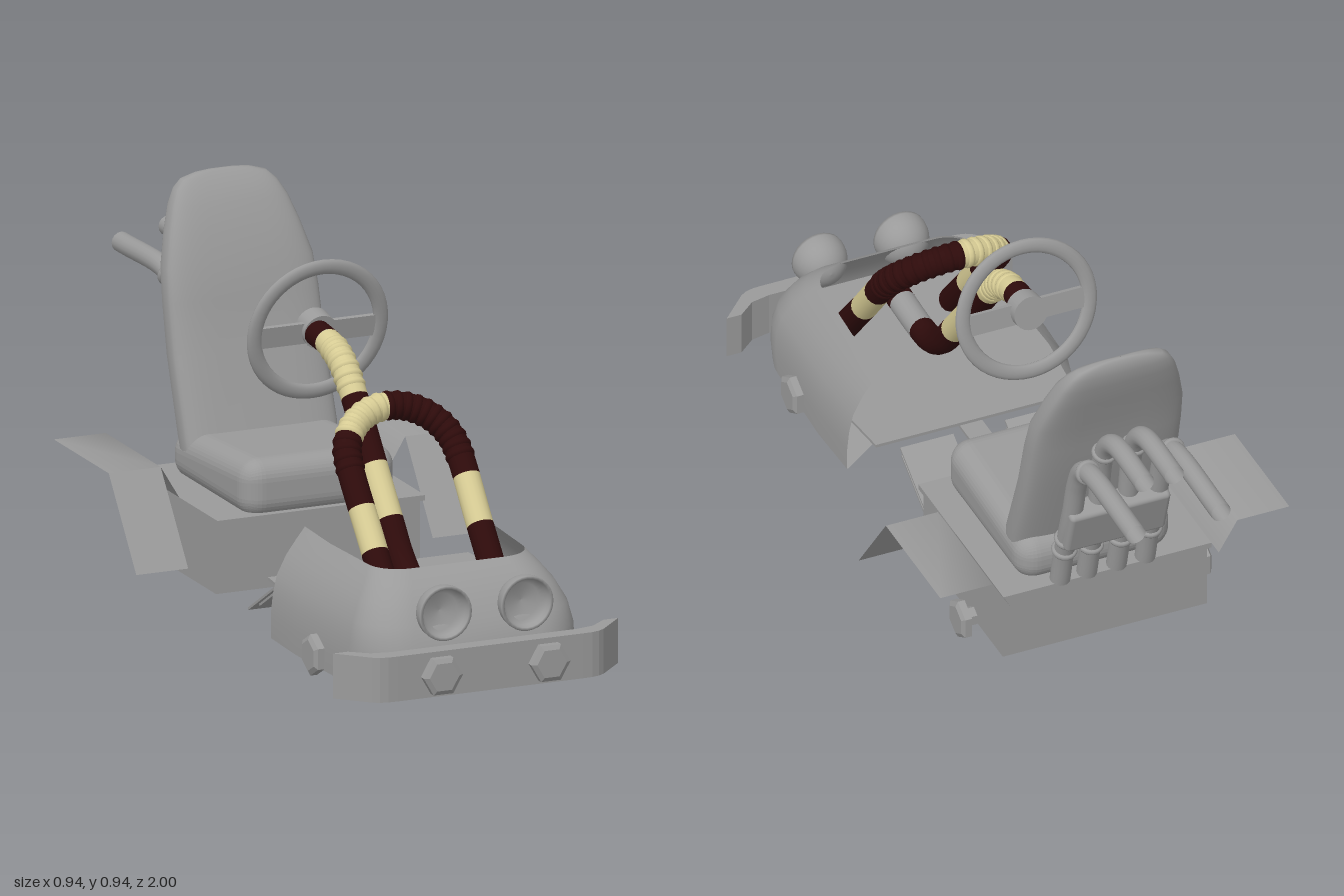
import * as THREE from 'three';
import { RoundedBoxGeometry } from 'three/addons/geometries/RoundedBoxGeometry.js';

const V = (x, y, z) => new THREE.Vector3(x, y, z);
const grey = new THREE.MeshStandardMaterial({ color: 0x9a9a9a, side: THREE.DoubleSide });
const dark = new THREE.MeshStandardMaterial({ color: 0x2e0b0b, side: THREE.DoubleSide });
const tan = new THREE.MeshStandardMaterial({ color: 0xd6cb94, side: THREE.DoubleSide });

// Skin a list of rings that all have the same number of points
function loft(rings, closed) {
  const n = rings[0].length, pos = [], idx = [];
  rings.forEach(r => r.forEach(p => pos.push(p.x, p.y, p.z)));
  for (let i = 0; i < rings.length - 1; i++) {
    for (let j = 0; j < (closed ? n : n - 1); j++) {
      const a = i * n + j, b = i * n + (j + 1) % n;
      idx.push(a, a + n, b, b, a + n, b + n);
    }
  }
  const g = new THREE.BufferGeometry();
  g.setAttribute('position', new THREE.Float32BufferAttribute(pos, 3));
  g.setIndex(idx);
  g.computeVertexNormals();
  return g;
}

export function createModel() {
  const root = new THREE.Group();
  const add = (name, geo, x = 0, y = 0, z = 0, mat = grey, parent = root) => {
    const m = new THREE.Mesh(geo, mat);
    m.name = name;
    m.position.set(x, y, z);
    parent.add(m);
    return m;
  };
  const box = (name, w, h, d, x, y, z, parent = root) =>
    add(name, new THREE.BoxGeometry(w, h, d), x, y, z, grey, parent);

  // Nose shell: U-shaped outlines stacked upward [y, half width, front z], corners tighter at the top
  const outline = ([y, w, zf]) => {
    const r = 0.183 - y * 0.33, wf = w - 0.01, pts = [V(w - 0.005, y, 0.335), V(w, y, 0.5)];
    for (let i = 0; i <= 8; i++) {
      const a = i / 8 * Math.PI / 2;
      pts.push(V(wf - r + r * Math.cos(a), y, zf - r + r * Math.sin(a)));
    }
    return pts.concat(pts.map(p => V(-p.x, p.y, p.z)).reverse());
  };
  add('noseShell', loft([
    [0.04, 0.31, 0.93], [0.1, 0.31, 0.93], [0.15, 0.305, 0.92], [0.2, 0.294, 0.895],
    [0.25, 0.268, 0.86], [0.285, 0.242, 0.825], [0.305, 0.226, 0.795], [0.315, 0.218, 0.78],
  ].map(outline), false));

  // Underside rising from the shell's lower rim to the floor
  add('nosePan', loft([[0.04, 0.308, 0.928], [0.158, 0.17, 0.62]].map(outline), false));

  // Foot floor inside the nose
  const floor = new THREE.Shape([[-0.27, 0.24], [0.27, 0.24], [0.29, 0.45], [0.28, 0.78],
    [0.16, 0.89], [-0.16, 0.89], [-0.28, 0.78], [-0.29, 0.45]].map(p => new THREE.Vector2(...p)));
  add('floor', new THREE.ExtrudeGeometry(floor, { depth: 0.008, bevelEnabled: false })
    .rotateX(Math.PI / 2), 0, 0.167, 0);

  // Front bumper with swept-back ends
  const half = [[0.25, 0.975], [0.275, 0.974], [0.295, 0.969], [0.312, 0.959], [0.385, 0.885],
    [0.345, 0.885], [0.3, 0.922], [0.25, 0.932]];
  const bumper = new THREE.Shape([...half, ...half.map(([x, z]) => [-x, z]).reverse()]
    .map(p => new THREE.Vector2(...p)));
  add('bumper', new THREE.ExtrudeGeometry(bumper, { depth: 0.115, bevelEnabled: false })
    .rotateX(Math.PI / 2), 0, 0.155, 0);

  // Hexagonal bolts with a bevelled head, pointing along +z before turning
  const hexGeo = () => new THREE.LatheGeometry([[0, -0.05], [0.025, -0.05], [0.025, -0.025],
    [0.053, -0.025], [0.053, -0.007], [0.04, 0], [0, 0]].map(p => new THREE.Vector2(...p)), 6)
    .toNonIndexed().rotateX(Math.PI / 2).rotateZ(Math.PI / 6);
  const flat = g => { g.computeVertexNormals(); return g; };
  for (const x of [-0.135, 0.155]) add('bumperBolt', flat(hexGeo()), x, 0.095, 1);
  for (const s of [-1, 1]) for (const z of [0.628, -0.392]) {
    add('sideBolt', flat(hexGeo().rotateZ(Math.PI / 6)), s * 0.337, 0.077, z).rotation.y = s * Math.PI / 2;
  }

  // Headlights: hollow bowls domed at the back
  const bowl = [];
  for (let i = 0; i <= 8; i++) {
    const a = i / 8 * Math.PI / 2;
    bowl.push(new THREE.Vector2(0.07 * Math.sin(a), -0.075 * Math.cos(a)));
  }
  bowl.push(new THREE.Vector2(0.07, 0.008), new THREE.Vector2(0.062, 0.008), new THREE.Vector2(0.06, -0.01),
    new THREE.Vector2(0.045, -0.025), new THREE.Vector2(0, -0.032));
  for (const x of [-0.1, 0.12]) {
    add('headlight', new THREE.LatheGeometry(bowl, 28).rotateX(Math.PI / 2), x, 0.235, 0.922);
  }

  // Striped hoses: bands are [start, end, material], shallow ribs fill one stretch
  function hose(name, pts, r, bands, ribs) {
    const g = new THREE.Group(), curve = new THREE.CatmullRomCurve3(pts, false, 'centripetal');
    g.name = name;
    root.add(g);
    for (const [a, b, mat] of bands) {
      const sub = [];
      for (let i = 0; i <= 12; i++) sub.push(curve.getPointAt(a + (b - a) * i / 12));
      add('band', new THREE.TubeGeometry(new THREE.CatmullRomCurve3(sub), 24, r, 18), 0, 0, 0, mat, g);
      for (let t = ribs[0]; t < ribs[1]; t += ribs[2]) {
        if (t < a || t >= b) continue;
        const p = curve.getPointAt(t);
        const ring = add('rib', new THREE.TorusGeometry(r - 0.009, 0.0125, 10, 18), p.x, p.y, p.z, mat, g);
        ring.lookAt(p.clone().add(curve.getTangentAt(t)));
      }
    }
  }
  const arch = [V(0.155, 0.18, 0.7), V(0.155, 0.34, 0.565), V(0.155, 0.49, 0.44)];
  for (let i = 1; i <= 9; i++) {
    const a = i / 10 * Math.PI, h = Math.sin(a);
    arch.push(V(0.0075 + 0.1475 * Math.cos(a), 0.49 + 0.11 * h, 0.44 - 0.1 * h));
  }
  arch.push(V(-0.14, 0.49, 0.44), V(-0.14, 0.34, 0.565), V(-0.14, 0.18, 0.7));
  hose('archHose', arch, 0.034, [[0, 0.16, dark], [0.16, 0.265, tan], [0.265, 0.505, dark],
    [0.505, 0.62, tan], [0.62, 0.775, dark], [0.775, 0.87, tan], [0.87, 1, dark]], [0.31, 0.7, 0.019]);
  hose('steeringColumn', [[0.2, 0.78], [0.2, 0.55], [0.25, 0.47], [0.32, 0.41], [0.465, 0.29], [0.61, 0.17],
    [0.655, 0.12], [0.68, 0.06], [0.692, -0.04]].map(([y, z]) => V(-0.015, y, z)), 0.034,
  [[0, 0.06, dark], [0.06, 0.175, grey], [0.175, 0.415, dark], [0.415, 0.56, tan],
    [0.56, 0.74, dark], [0.74, 0.93, tan], [0.93, 1, dark]], [0.77, 0.9, 0.024]);

  // Steering wheel, top leaning forward
  const wheel = new THREE.Group();
  wheel.name = 'steeringWheel';
  wheel.position.set(-0.006, 0.695, -0.05);
  wheel.rotation.x = 0.187;
  root.add(wheel);
  add('rim', new THREE.TorusGeometry(0.17, 0.02, 12, 48).scale(1, 1, 0.55), 0, 0, 0, grey, wheel);
  box('spoke', 0.31, 0.055, 0.012, 0, -0.006, 0, wheel);
  add('hub', new THREE.CylinderGeometry(0.045, 0.045, 0.05, 24).rotateX(Math.PI / 2), 0, 0, -0.005, grey, wheel);

  // Pedals and the rails joining front and rear
  for (const s of [-1, 1]) for (const d of [0, 1]) {
    const p = box('pedal', 0.143, 0.006, d ? 0.18 : 0.268, s * 0.141, 0.083 + d * 0.005, 0.108 + d * 0.03);
    p.rotation.x = -0.54;
  }
  box('upperRail', 0.06, 0.008, 0.4, -0.01, 0.112, 0.14);
  box('lowerRail', 0.05, 0.012, 0.2, -0.01, 0.066, 0.03);

  // Rear body and seat tray
  box('rearBody', 0.55, 0.18, 0.48, 0, 0.135, -0.3);
  box('seatTray', 0.56, 0.014, 0.515, 0, 0.231, -0.298);

  // Rear fenders: flat top, slanted inner skirt, sloping front flap
  const strip = (s, rows) => loft(rows.map(r => r.map(([x, y, z]) => V(s * x, y, z))), false);
  for (const s of [-1, 1]) {
    add('fenderTop', strip(s, [
      [[0.28, 0.238, -0.6], [0.33, 0.322, -0.6], [0.47, 0.322, -0.6]],
      [[0.28, 0.238, -0.27], [0.33, 0.322, -0.27], [0.47, 0.322, -0.27]]]));
    add('fenderFlap', strip(s, [
      [[0.33, 0.322, -0.27], [0.47, 0.322, -0.27]], [[0.33, 0.105, -0.105], [0.47, 0.105, -0.105]]]));
  }

  // Seat cushion, higher at the front edge
  const cushion = new RoundedBoxGeometry(0.415, 0.14, 0.47, 5, 0.055);
  const cp = cushion.attributes.position;
  for (let i = 0; i < cp.count; i++) {
    if (cp.getY(i) > 0) cp.setY(i, cp.getY(i) + cp.getZ(i) * 0.06);
  }
  cushion.computeVertexNormals();
  add('seatCushion', cushion, 0.008, 0.288, -0.283);

  // Seat back from level rounded sections [y, z, half width, half thickness]
  const section = ([y, z, w, t]) => Array.from({ length: 40 }, (_, i) => {
    const a = i / 40 * Math.PI * 2, c = Math.cos(a), s = Math.sin(a);
    return V(0.006 + w * Math.sign(c) * Math.abs(c) ** 0.45, y, z + t * Math.sign(s) * Math.abs(s) ** 0.6);
  });
  add('seatBack', loft([
    [0.26, -0.42, 0.2, 0.055], [0.34, -0.437, 0.208, 0.053], [0.53, -0.507, 0.207, 0.05],
    [0.66, -0.54, 0.205, 0.048], [0.74, -0.562, 0.199, 0.048], [0.82, -0.593, 0.177, 0.045],
    [0.88, -0.617, 0.156, 0.04], [0.915, -0.633, 0.136, 0.03], [0.935, -0.641, 0.114, 0.02],
    [0.946, -0.645, 0.075, 0.011], [0.95, -0.646, 0.04, 0.006], [0.951, -0.646, 0.001, 0.001],
  ].map(section), true));

  // Exhaust pipes: outer pair long and lower, inner pair short and higher
  const pipeRuns = {
    long: [[0.24, -0.54], [0.34, -0.565], [0.45, -0.605], [0.6, -0.645], [0.655, -0.675], [0.68, -0.73], [0.68, -1]],
    short: [[0.24, -0.54], [0.34, -0.565], [0.45, -0.6], [0.64, -0.635], [0.71, -0.67], [0.74, -0.72], [0.742, -0.89]],
  };
  [[-0.108, 'long'], [-0.031, 'short'], [0.049, 'short'], [0.121, 'long']].forEach(([x, run]) => {
    const curve = new THREE.CatmullRomCurve3(pipeRuns[run].map(([y, z]) => V(x, y, z)), false, 'centripetal');
    add('exhaustPipe', new THREE.TubeGeometry(curve, 48, 0.026, 16));
    for (const t of [0.14, 0.2, 0.62]) {
      const p = curve.getPointAt(t);
      add('pipeCollar', new THREE.TorusGeometry(0.024, 0.009, 8, 18), p.x, p.y, p.z)
        .lookAt(p.clone().add(curve.getTangentAt(t)));
    }
  });
  const muffler = add('muffler', new RoundedBoxGeometry(0.27, 0.135, 0.065, 3, 0.012), 0.006, 0.445, -0.608);
  muffler.rotation.x = -0.3;

  return root;
}
